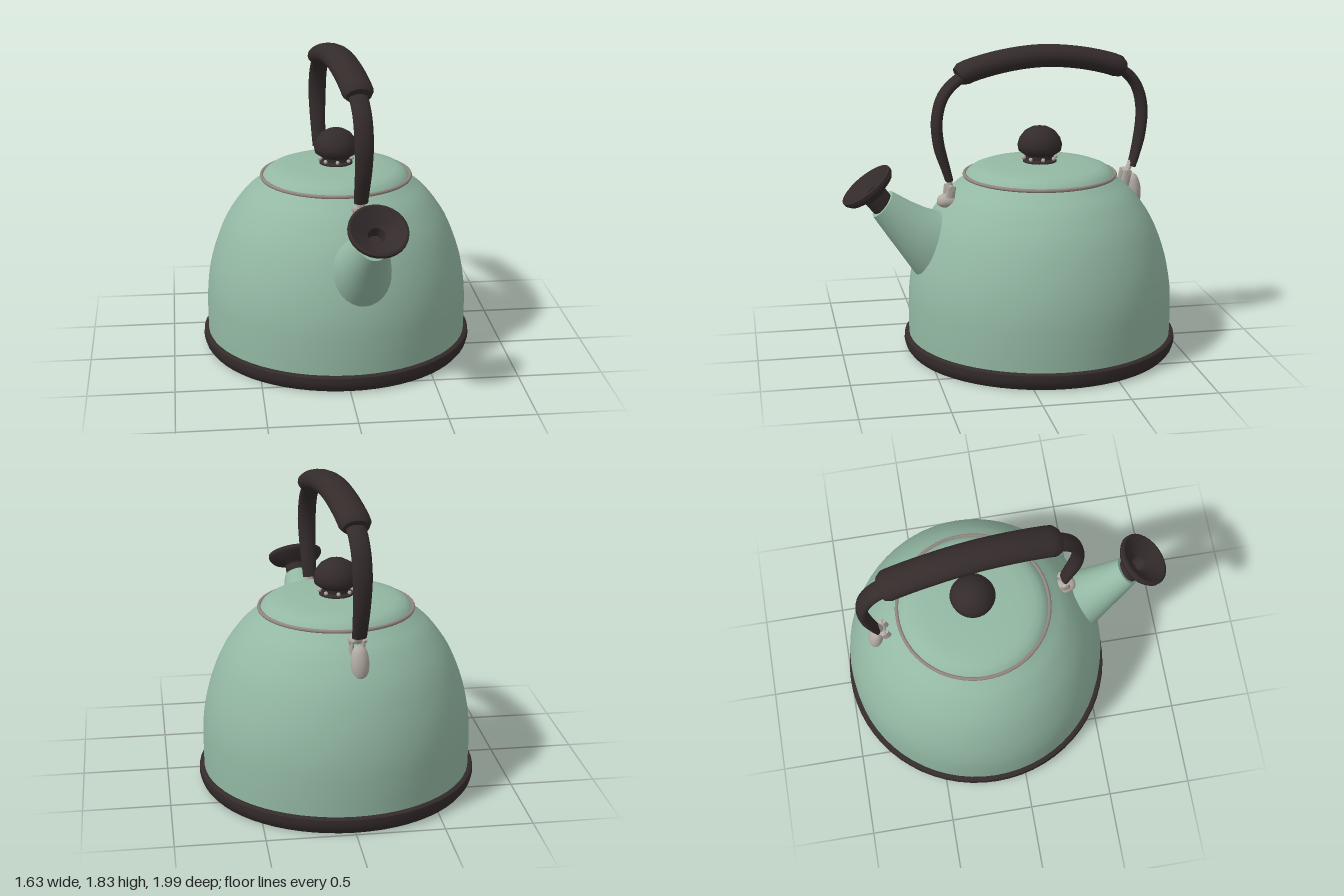
import * as THREE from 'three';
import { toCreasedNormals } from 'three/addons/utils/BufferGeometryUtils.js';

const mat = (name, color) => new THREE.MeshStandardMaterial({ name, color });

export function createModel() {
  const green = mat('green enamel', 0x93b8a3);
  const dark = mat('dark plastic', 0x342b2b);
  const steel = mat('steel', 0xb3aca4);
  const trim = mat('lid trim', 0x94867f);

  const model = new THREE.Group();
  model.name = 'kettle';
  const Z0 = -0.19; // centre of the round body
  const kettle = new THREE.Group();
  kettle.name = 'kettleBody';
  kettle.position.z = Z0;
  model.add(kettle);
  // spout and handle share a plane turned slightly off the front
  const turned = new THREE.Group();
  turned.name = 'spoutAndHandle';
  turned.rotation.y = 0.115;
  kettle.add(turned);

  const add = (parent, name, geo, material, x = 0, y = 0, z = 0) => {
    const mesh = new THREE.Mesh(geo, material);
    mesh.name = name;
    mesh.position.set(x, y, z);
    parent.add(mesh);
    return mesh;
  };
  const lathe = (pts, segments = 64, crease = 0.6) => toCreasedNormals(
    new THREE.LatheGeometry(pts.map(p => new THREE.Vector2(...p)), segments), crease);

  // skin over elliptical rings [z, y, uz, uy, halfWidth], closed at both ends
  const loft = (rings, n = 20) => {
    const pos = [], idx = [];
    for (const [z, y, uz, uy, w] of rings) {
      for (let j = 0; j < n; j++) {
        const a = j / n * Math.PI * 2, s = Math.sin(a);
        pos.push(w * Math.cos(a), y + uy * s, z + uz * s);
      }
    }
    const last = rings.length - 1, c = rings.length * n;
    for (const k of [0, last]) pos.push(0, rings[k][1], rings[k][0]);
    for (let j = 0; j < n; j++) {
      const k = (j + 1) % n;
      for (let i = 0; i < last; i++) {
        const a = i * n + j, b = i * n + k;
        idx.push(a, b, b + n, a, b + n, a + n);
      }
      idx.push(c, k, j, c + 1, last * n + j, last * n + k);
    }
    const g = new THREE.BufferGeometry();
    g.setAttribute('position', new THREE.Float32BufferAttribute(pos, 3));
    g.setIndex(idx);
    return toCreasedNormals(g, 0.8);
  };

  // flattened rod along [z, y] points; size(t) returns [halfWidth, halfThickness]
  const rod = (pts, size, steps = 24) => {
    const curve = new THREE.CatmullRomCurve3(pts.map(([z, y]) => new THREE.Vector3(0, y, z - Z0)));
    const rings = [];
    for (let i = 0; i <= steps; i++) {
      const t = i / steps, p = curve.getPointAt(t), d = curve.getTangentAt(t), [w, r] = size(t);
      rings.push([p.z, p.y, -d.y * r, d.z * r, w]);
    }
    return loft(rings);
  };

  // base ring with closed underside
  add(kettle, 'base', lathe([[0, 0], [0.785, 0], [0.805, 0.025], [0.815, 0.06], [0.812, 0.09],
    [0.8, 0.098], [0.77, 0.098]]), dark);

  // domed body
  const profile = new THREE.SplineCurve([[0.785, 0.09], [0.787, 0.25], [0.778, 0.42], [0.74, 0.6],
    [0.665, 0.79], [0.56, 0.94], [0.47, 1.02], [0.42, 1.06]].map(p => new THREE.Vector2(...p)));
  add(kettle, 'body', new THREE.LatheGeometry(profile.getPoints(28), 64), green);

  // lid, trim and knob
  add(kettle, 'lid', lathe([[0.44, 1.058], [0.43, 1.075], [0.4, 1.098], [0.36, 1.113], [0.28, 1.124],
    [0.15, 1.132], [0, 1.135]], 64, 1), green);
  const rim = add(kettle, 'lidTrim', new THREE.TorusGeometry(0.446, 0.011, 8, 64), trim, 0, 1.06);
  rim.rotation.x = Math.PI / 2;
  add(kettle, 'knobCollar', lathe([[0.1, 1.12], [0.1, 1.14], [0.08, 1.15], [0.08, 1.2]], 32), dark);
  add(kettle, 'knob', lathe([[0, 1.175], [0.09, 1.175], [0.125, 1.2], [0.132, 1.235], [0.12, 1.275],
    [0.09, 1.315], [0.05, 1.338], [0, 1.343]], 32, 0.9), dark);
  for (let i = 0; i < 8; i++) {
    const a = i / 8 * Math.PI * 2;
    add(kettle, 'knobStud', new THREE.SphereGeometry(0.012, 8, 6), steel,
      0.097 * Math.sin(a), 1.158, 0.097 * Math.cos(a));
  }

  // spout from upper and lower edge points: zUp, yUp, zLow, yLow, halfWidth
  const spout = [[0.33, 0.86, 0.5, 0.42, 0.18], [0.41, 0.87, 0.56, 0.49, 0.175],
    [0.5, 0.9, 0.655, 0.63, 0.145], [0.6, 0.95, 0.74, 0.755, 0.115], [0.705, 1.015, 0.82, 0.875, 0.088]]
    .map(([a, b, c, d, w]) => [(a + c) / 2 - Z0, (b + d) / 2, (a - c) / 2, (b - d) / 2, w]);
  add(turned, 'spout', loft(spout, 28), green);

  // flared whistle with hollow mouth
  const whistle = add(turned, 'whistle', lathe([[0, -0.02], [0.07, -0.02], [0.072, 0.06], [0.09, 0.075],
    [0.15, 0.1], [0.168, 0.125], [0.168, 0.145], [0.155, 0.15], [0.1, 0.115], [0.05, 0.09],
    [0.04, 0.03], [0, 0.03]], 28), dark, 0, 0.95, 0.77 - Z0);
  whistle.rotation.x = 0.65;

  // handle: two curved arms and a thick grip
  const handle = new THREE.Group();
  handle.name = 'handle';
  handle.position.x = 0.02;
  turned.add(handle);
  const armSize = t => [0.042 + 0.014 * Math.min(1, t * 2), 0.022 + 0.01 * Math.min(1, t * 4)];
  add(handle, 'frontArm', rod([[0.37, 1.06], [0.39, 1.13], [0.43, 1.27], [0.44, 1.42], [0.405, 1.55],
    [0.33, 1.635], [0.24, 1.68]], armSize), dark);
  add(handle, 'backArm', rod([[-0.765, 1.07], [-0.785, 1.14], [-0.815, 1.28], [-0.822, 1.43],
    [-0.785, 1.56], [-0.71, 1.645], [-0.62, 1.68]], armSize), dark);
  add(handle, 'grip', rod([[0.31, 1.665], [0.26, 1.69], [0.05, 1.741], [-0.19, 1.763], [-0.43, 1.741],
    [-0.64, 1.69], [-0.69, 1.665]], t => {
    const e = Math.abs(t - 0.5) * 2;
    return e > 0.99 ? [0.075, 0.052] : [0.092, 0.066];
  }, 32), dark);

  // steel brackets joining the arms to the body
  const bracket = (name, foot, link) => {
    const g = new THREE.Group();
    g.name = name;
    handle.add(g);
    add(g, 'foot', rod(foot, t => {
      const s = 0.4 + 0.6 * Math.sqrt(Math.sin(Math.PI * t));
      return [0.052 * s, 0.044 * s];
    }, 12), steel);
    for (const x of [-0.032, 0.032]) add(g, 'clevis', rod(link, () => [0.012, 0.028], 6), steel, x);
    const [pz, py] = link[link.length - 1];
    const pin = add(g, 'pin', new THREE.CylinderGeometry(0.017, 0.017, 0.1, 12), steel, 0, py - 0.01, pz - Z0);
    pin.rotation.z = Math.PI / 2;
    add(g, 'tongue', rod([[pz, py - 0.02], [pz + (pz > 0 ? 0.005 : -0.035), py + 0.05]],
      () => [0.024, 0.016], 4), steel);
  };
  bracket('frontBracket', [[0.44, 0.94], [0.38, 0.94], [0.31, 0.92]], [[0.38, 0.93], [0.365, 1.03]]);
  bracket('backBracket', [[-0.79, 0.83], [-0.78, 0.93], [-0.765, 1.02]], [[-0.71, 0.96], [-0.73, 1.05]]);

  return model;
}
